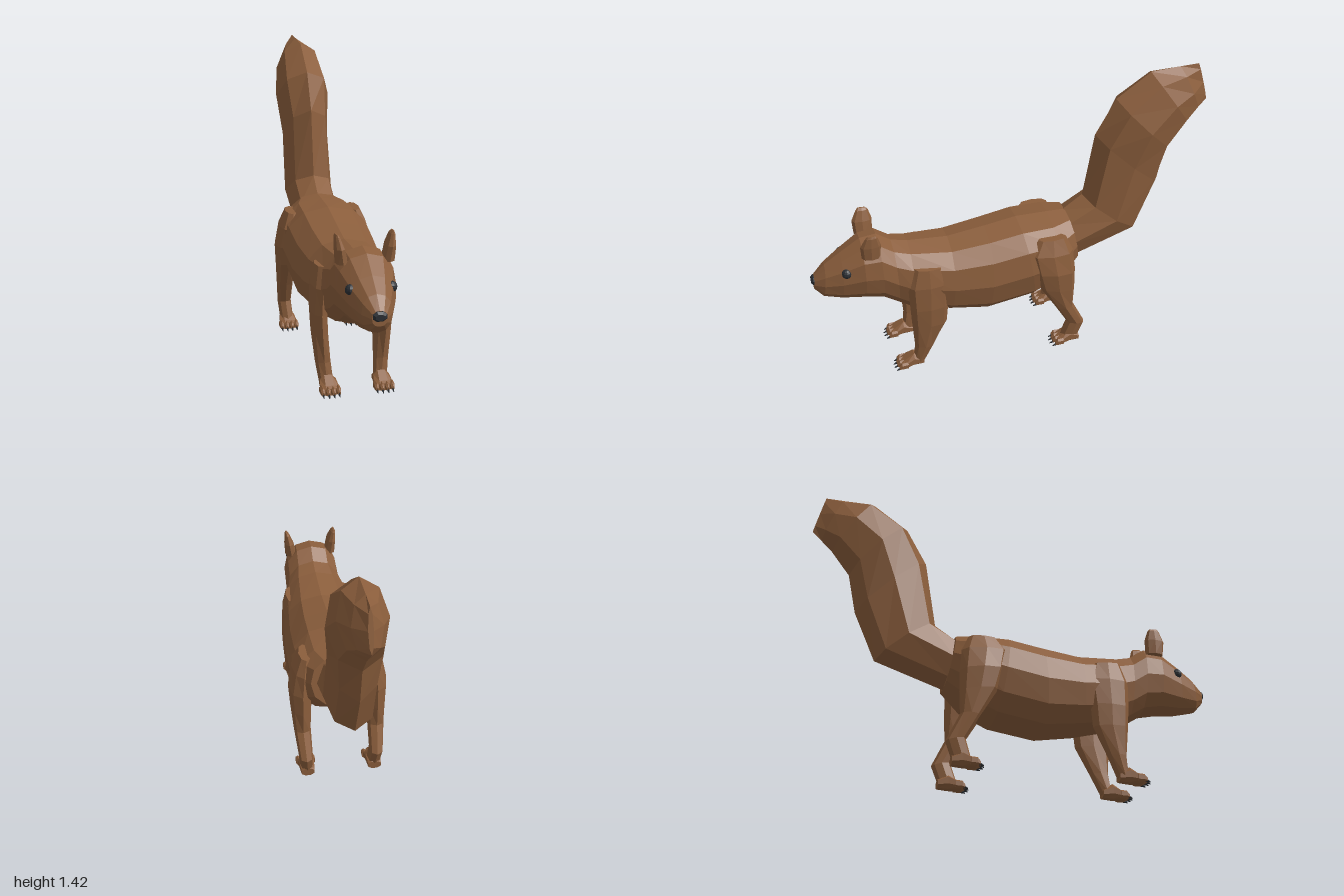
import * as THREE from 'three';

const fur = new THREE.MeshStandardMaterial({ color: 0x8b5e3c });
fur.name = 'brownFur';
const dark = new THREE.MeshStandardMaterial({ color: 0x2b2f34 });
dark.name = 'darkDetail';

// Each section is [z0, y0, z1, y1, halfWidth, centreX]: two opposite points
// in the side plane, plus the sideways extent. Sections are joined in order.
function loft(sections, { n = 8, square = 0.9, flat = false } = {}) {
  const step = (Math.PI * 2) / n;
  const grow = flat ? 1 / Math.cos(step / 2) : 1;
  const bend = (v) => Math.sign(v) * Math.pow(Math.abs(v) < 1e-6 ? 0 : Math.abs(v), square);
  const rings = sections.map(([z0, y0, z1, y1, hw, cx = 0]) => {
    const ring = [];
    for (let i = 0; i < n; i++) {
      const a = (i + (flat ? 0.5 : 0)) * step;
      const c = bend(Math.cos(a) * grow), s = bend(Math.sin(a) * grow);
      ring.push(new THREE.Vector3(
        cx + hw * s,
        (y0 + y1) / 2 + ((y0 - y1) / 2) * c,
        (z0 + z1) / 2 + ((z0 - z1) / 2) * c));
    }
    return ring;
  });
  const tris = [];
  for (let r = 0; r < rings.length - 1; r++) {
    for (let i = 0; i < n; i++) {
      const j = (i + 1) % n, A = rings[r], B = rings[r + 1];
      tris.push([A[i], A[j], B[j]], [A[i], B[j], B[i]]);
    }
  }
  // End caps
  const cap = (ring, flip) => {
    const mid = ring.reduce((m, p) => m.add(p), new THREE.Vector3()).divideScalar(n);
    ring.forEach((p, i) => {
      const q = ring[(i + 1) % n];
      tris.push(flip ? [mid, q, p] : [mid, p, q]);
    });
  };
  cap(rings[0], true);
  cap(rings[rings.length - 1], false);
  // Turn the faces outwards whichever way the sections run
  const ref = rings[0][0], cross = new THREE.Vector3();
  let volume = 0;
  for (const [a, b, c] of tris) {
    cross.crossVectors(b.clone().sub(ref), c.clone().sub(ref));
    volume += a.clone().sub(ref).dot(cross);
  }
  const points = tris.flatMap(([a, b, c]) => (volume < 0 ? [a, c, b] : [a, b, c]));
  const geo = new THREE.BufferGeometry().setFromPoints(points);
  geo.computeVertexNormals();
  return geo;
}

function faceted(geo) {
  const g = geo.index ? geo.toNonIndexed() : geo;
  g.computeVertexNormals();
  return g;
}

function add(parent, name, geo, material, x = 0, y = 0, z = 0) {
  const mesh = new THREE.Mesh(geo, material);
  mesh.name = name;
  mesh.position.set(x, y, z);
  parent.add(mesh);
  return mesh;
}

// Sections moved to one side of the body
const onSide = (sections, side) => sections.map(([a, b, c, d, hw, cx]) => [a, b, c, d, hw, cx * side]);

const bodySections = [
  [0.985, 0.56, 0.99, 0.49, 0.035],
  [0.93, 0.615, 0.95, 0.445, 0.07],
  [0.85, 0.67, 0.86, 0.425, 0.105],
  [0.75, 0.735, 0.75, 0.415, 0.137],
  [0.67, 0.745, 0.66, 0.395, 0.143],
  [0.60, 0.695, 0.59, 0.35, 0.145],
  [0.52, 0.675, 0.53, 0.315, 0.165],
  [0.32, 0.66, 0.34, 0.27, 0.195],
  [0.13, 0.685, 0.15, 0.24, 0.215],
  [-0.03, 0.71, -0.09, 0.28, 0.222],
  [-0.19, 0.708, -0.23, 0.35, 0.215],
  [-0.285, 0.705, -0.33, 0.44, 0.15],
];

const tailSections = [
  [-0.27, 0.70, -0.33, 0.44, 0.12],
  [-0.375, 0.775, -0.665, 0.555, 0.125],
  [-0.43, 1.11, -0.77, 0.80, 0.12],
  [-0.53, 1.29, -0.81, 1.00, 0.14],
  [-0.70, 1.41, -0.90, 1.12, 0.115],
  [-0.85, 1.418, -0.955, 1.175, 0.07],
  [-0.945, 1.42, -1.0, 1.22, 0.012],
];

const frontLegSections = [
  [0.52, 0.60, 0.38, 0.59, 0.03, 0.14],
  [0.555, 0.50, 0.345, 0.50, 0.04, 0.15],
  [0.55, 0.37, 0.36, 0.37, 0.04, 0.155],
  [0.545, 0.27, 0.37, 0.26, 0.04, 0.15],
  [0.535, 0.13, 0.44, 0.12, 0.037, 0.14],
  [0.545, 0.04, 0.49, 0.02, 0.034, 0.13],
];

const hindLegSections = [
  [-0.10, 0.66, -0.24, 0.66, 0.03, 0.16],
  [-0.05, 0.59, -0.275, 0.58, 0.05, 0.175],
  [-0.07, 0.49, -0.285, 0.47, 0.06, 0.185],
  [-0.10, 0.39, -0.285, 0.36, 0.053, 0.185],
  [-0.185, 0.25, -0.28, 0.25, 0.042, 0.185],
  [-0.25, 0.135, -0.345, 0.115, 0.035, 0.178],
  [-0.22, 0.04, -0.31, 0.02, 0.034, 0.17],
];

const earSections = [
  [0.76, 0.69, 0.67, 0.69, 0.03, 0.105],
  [0.765, 0.76, 0.665, 0.76, 0.024, 0.115],
  [0.74, 0.81, 0.68, 0.81, 0.012, 0.124],
  [0.73, 0.822, 0.69, 0.82, 0.004, 0.127],
];

// Paw with four toes and claws; z is the heel position
function makePaw(name, x, z) {
  const paw = new THREE.Group();
  paw.name = name;
  paw.position.set(x, 0, z);
  add(paw, 'foot', loft([
    [0, 0.045, 0, 0.003, 0.032],
    [0.05, 0.075, 0.05, 0, 0.038],
    [0.10, 0.042, 0.10, 0, 0.045],
    [0.115, 0.034, 0.115, 0, 0.045],
  ], { flat: true }), fur);
  for (let i = 0; i < 4; i++) {
    const tx = (i - 1.5) * 0.025, tz = 0.115 - Math.abs(i - 1.5) * 0.007;
    add(paw, 'toe', loft([
      [tz - 0.02, 0.042, tz - 0.02, 0.002, 0.012, tx],
      [tz + 0.012, 0.04, tz + 0.012, 0.002, 0.012, tx],
      [tz + 0.025, 0.024, tz + 0.025, 0.004, 0.008, tx],
    ], { n: 6 }), fur);
    add(paw, 'claw', loft([
      [tz + 0.015, 0.024, tz + 0.015, 0.002, 0.008, tx],
      [tz + 0.04, 0.006, tz + 0.04, 0, 0.002, tx],
    ], { n: 4 }), dark);
  }
  return paw;
}

export function createModel() {
  const model = new THREE.Group();
  model.name = 'squirrel';

  add(model, 'bodyAndHead', loft(bodySections, { n: 12, square: 0.88 }), fur);
  add(model, 'tail', loft(tailSections, { square: 1 }), fur);

  // Nose
  add(model, 'nose', loft([
    [0.965, 0.56, 0.965, 0.51, 0.033],
    [0.99, 0.557, 0.99, 0.513, 0.031],
    [1.0, 0.547, 1.0, 0.52, 0.02],
  ], { flat: true }), dark);

  for (const side of [1, -1]) {
    const label = side > 0 ? 'left' : 'right';
    add(model, label + 'FrontLeg', loft(onSide(frontLegSections, side)), fur);
    add(model, label + 'HindLeg', loft(onSide(hindLegSections, side)), fur);
    model.add(makePaw(label + 'FrontPaw', side * 0.128, 0.495));
    model.add(makePaw(label + 'HindPaw', side * 0.17, -0.315));
    add(model, label + 'Ear', loft(onSide(earSections, side)), fur);
    add(model, label + 'Eye', faceted(new THREE.SphereGeometry(0.025, 10, 8)), dark, side * 0.092, 0.606, 0.835);
  }
  return model;
}
